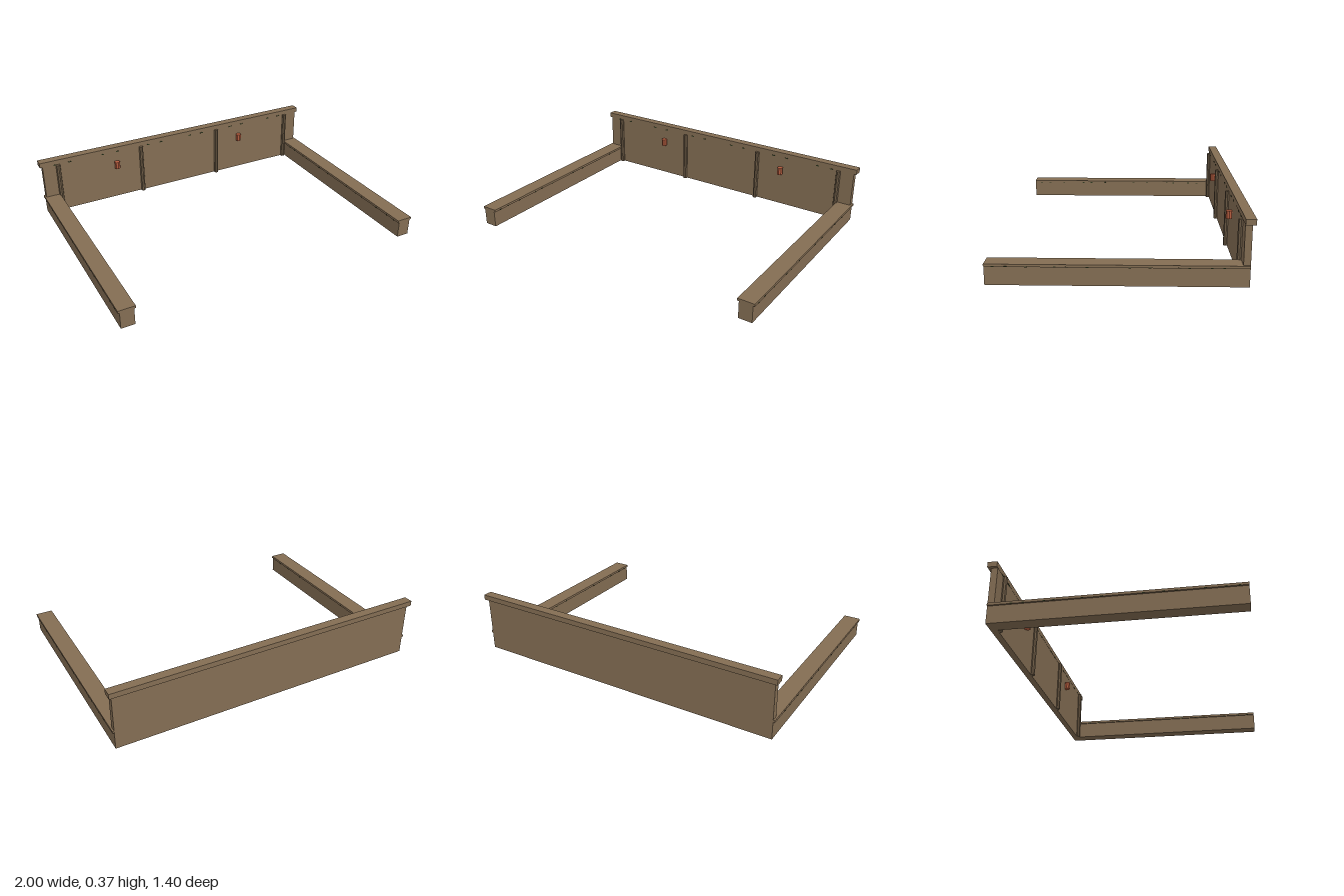
import * as THREE from 'three';

export function createModel() {
  const group = new THREE.Group();
  const material = (name, color) => {
    const m = new THREE.MeshStandardMaterial({ color });
    m.name = name;
    return m;
  };
  const stone = material('brown stone', 0x836d53);
  const columnStone = material('dark brown stone', 0x6f5d47);
  const clay = material('orange clay', 0xb45c3e);
  const moss = material('dark moss', 0x2f3a20);
  clay.flatShading = columnStone.flatShading = true;

  // Box given by its minimum and maximum corners
  const box = (name, mat, [x0, y0, z0], [x1, y1, z1]) => {
    const mesh = new THREE.Mesh(new THREE.BoxGeometry(x1 - x0, y1 - y0, z1 - z0), mat);
    mesh.position.set((x0 + x1) / 2, (y0 + y1) / 2, (z0 + z1) / 2);
    mesh.name = name;
    group.add(mesh);
  };
  // Upright faceted cylinder
  const post = (name, mat, x, z, r, y0, y1) => {
    const mesh = new THREE.Mesh(new THREE.CylinderGeometry(r, r, y1 - y0, 8), mat);
    mesh.position.set(x, (y0 + y1) / 2, z);
    mesh.name = name;
    group.add(mesh);
  };

  // Tall rear wall and its coping
  box('backWall', stone, [-0.983, 0, -0.685], [0.983, 0.342, -0.647]);
  box('backCoping', stone, [-1, 0.342, -0.702], [1, 0.374, -0.646]);

  // Half-round columns and wall lamps on the inner face
  for (const x of [-0.882, -0.294, 0.294, 0.882]) post('column', columnStone, x, -0.639, 0.015, 0, 0.342);
  for (const x of [-0.477, 0.477]) post('wallLamp', clay, x, -0.629, 0.019, 0.225, 0.273);

  // Low side walls with copings
  for (const s of [-1, 1]) {
    const span = (a, b) => [Math.min(s * a, s * b), Math.max(s * a, s * b)];
    const [b0, b1] = span(0.9, 0.983);
    box('sideWall', stone, [b0, 0, -0.684], [b1, 0.105, 0.702]);
    const [c0, c1] = span(0.89, 0.993);
    box('sideCoping', stone, [c0, 0.105, -0.684], [c1, 0.12, 0.702]);

    // Moss specks along both edges of the coping
    for (const z of [0.654, 0.586, 0.48, 0.33, 0.267, 0.16, -0.06, -0.165, -0.32, -0.37, -0.485, -0.55])
      for (const x of [0.889, 0.992]) {
        const [m0, m1] = span(x, x + 0.002);
        box('mossSpeck', moss, [m0, 0.104, z - 0.007], [m1, 0.109, z + 0.007]);
      }
  }

  // Moss specks under the rear coping
  for (const x of [-0.9, -0.8, -0.57, -0.465, -0.235, -0.14, 0.085, 0.18, 0.415, 0.51, 0.735, 0.83])
    box('mossSpeck', moss, [x - 0.01, 0.339, -0.65], [x + 0.01, 0.345, -0.644]);

  return group;
}
